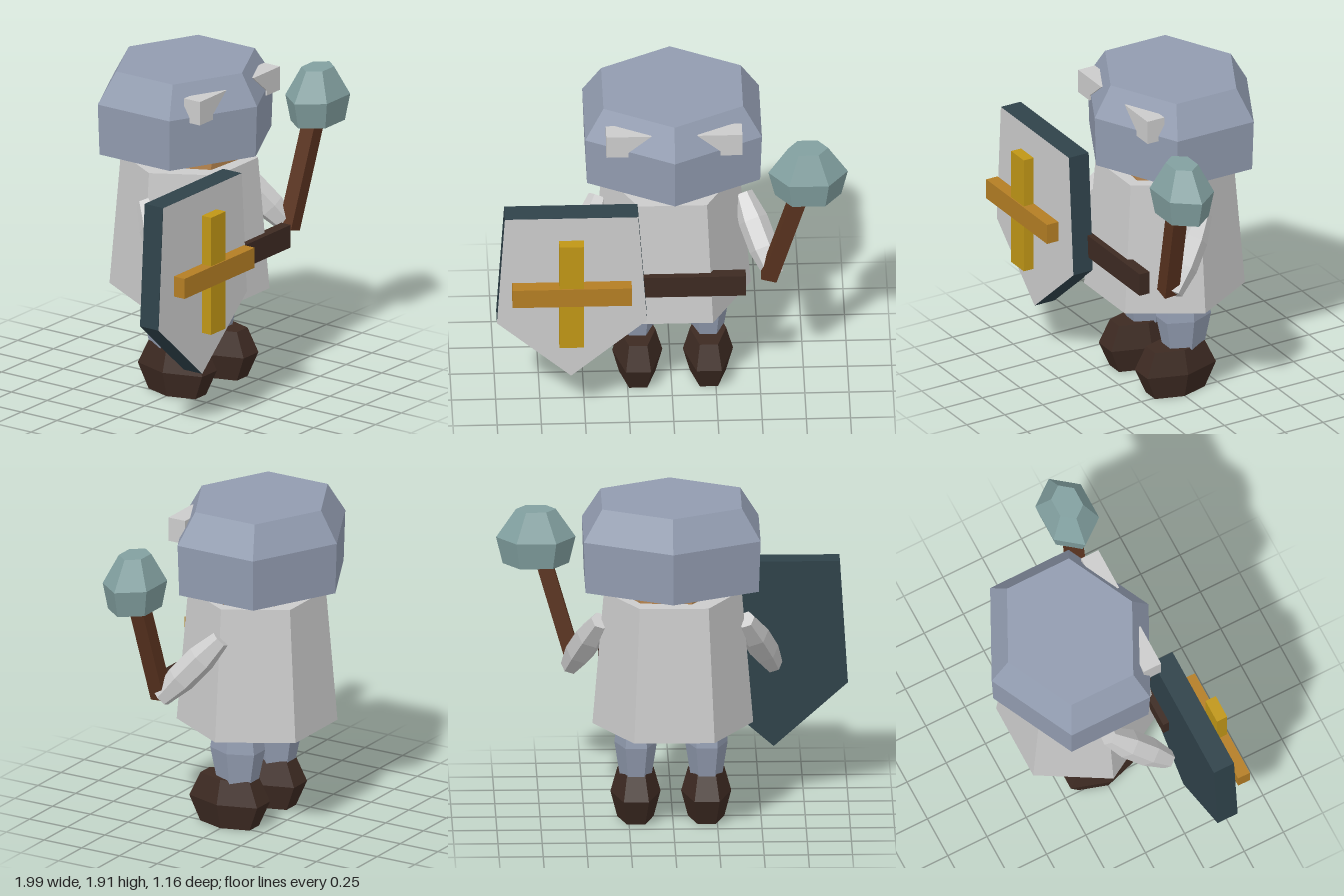
import * as THREE from 'three';

const GREY = 0xcccccc, STEEL = 0x929cb0, LEATHER = 0x3d2a22, WOOD = 0x5a331f;
const V = (x, y, z) => new THREE.Vector3(x, y, z);

export function createModel() {
  const model = new THREE.Group();

  function add(name, geometry, color, x = 0, y = 0, z = 0) {
    const material = new THREE.MeshStandardMaterial({ color, flatShading: true });
    const mesh = new THREE.Mesh(geometry, material);
    mesh.name = name;
    mesh.position.set(x, y, z);
    model.add(mesh);
    return mesh;
  }

  // Closed six-sided solid from [radius, y] rings; turn = 30 degrees puts corners on +-x
  function hexSolid(rings, turn = Math.PI / 6, scaleX = 1, scaleZ = 1) {
    const profile = [[0, rings[0][1]], ...rings, [0, rings[rings.length - 1][1]]];
    const points = profile.map(([r, y]) => new THREE.Vector2(r, y));
    return new THREE.LatheGeometry(points, 6, turn).scale(scaleX, 1, scaleZ);
  }

  // Box given by its lower and upper corners
  function box(name, a, b, color) {
    const size = b.clone().sub(a), mid = a.clone().add(b).multiplyScalar(0.5);
    return add(name, new THREE.BoxGeometry(size.x, size.y, size.z), color, mid.x, mid.y, mid.z);
  }

  // Stretches a mesh modelled along y (centred on 0) between two points
  function aim(mesh, from, to) {
    mesh.position.copy(from).add(to).multiplyScalar(0.5);
    mesh.quaternion.setFromUnitVectors(V(0, 1, 0), to.clone().sub(from).normalize());
  }

  function polygon(points) {
    return new THREE.Shape(points.map(([x, y]) => new THREE.Vector2(x, y)));
  }

  const extrude = (points, depth) =>
    new THREE.ExtrudeGeometry(polygon(points), { depth, bevelEnabled: false });

  // Helmet, with a corner facing front and back
  add('helmet', hexSolid([[0.49, 1.43], [0.5, 1.73], [0.395, 1.91]], 0, 1.155, 1),
    STEEL, 0.01, 0, -0.085);

  // Head, mostly hidden below the helmet
  add('head', hexSolid([[0.29, 1.3], [0.3, 1.5]], Math.PI / 6 - 0.07), 0xbb8850, 0.025, 0, -0.04);

  // Slanted eyes standing out of the helmet
  for (const side of [-1, 1]) {
    const eye = [[0.13, 1.84], [0.26, 1.73], [0.26, 1.7], [0.385, 1.7], [0.385, 1.84]]
      .map(([x, y]) => [side * x + 0.01, y]);
    add(side > 0 ? 'leftEye' : 'rightEye', extrude(eye, 0.11), GREY, 0, 0, 0.185);
  }

  // Tunic and belt
  add('tunic', hexSolid([[0.455, 0.57], [0.39, 1.35]]), GREY, 0, 0, -0.05);
  box('belt', V(-0.405, 0.765, 0.293), V(0.413, 0.9, 0.358), LEATHER);

  // Arms, legs and boots
  for (const side of [-1, 1]) {
    const label = side > 0 ? 'left' : 'right';
    const shoulder = V(side * 0.41, 1.18, -0.06), hand = V(side * 0.575, 0.82, 0.235);
    const half = shoulder.distanceTo(hand) / 2;
    const arm = add(label + 'Arm',
      hexSolid([[0.055, -half], [0.085, -half * 0.35], [0.085, half * 0.35], [0.055, half]]), GREY);
    aim(arm, hand, shoulder);

    const x = side * 0.2 + 0.01;
    add(label + 'Leg', hexSolid([[0.125, 0.26], [0.168, 0.46], [0.14, 0.62]], Math.PI / 6, 0.72, 1),
      STEEL, x, 0, -0.05);
    add(label + 'Boot', hexSolid([[0.103, 0], [0.142, 0.15], [0.103, 0.29]], Math.PI / 6, 1, 1.83),
      LEATHER, x, 0, 0.003);
  }

  // Mace
  const grip = V(0.545, 0.82, 0.25), tip = V(0.735, 1.47, 0.295);
  const handle = add('maceHandle', new THREE.BoxGeometry(0.09, grip.distanceTo(tip), 0.09), WOOD);
  aim(handle, grip, tip);
  add('maceHead', hexSolid([[0.188, 1.415], [0.225, 1.57], [0.113, 1.735]], Math.PI / 6, 1, 0.745),
    0x82a0a0, 0.767, 0, 0.29);

  // Shield: dark slab, pale face and raised cross
  const outline = [[-0.955, 1.4], [-1, 0.68], [-0.58, 0.305], [-0.15, 0.68], [-0.2, 1.4]];
  add('shield', extrude(outline, 0.128), 0x2f424a, 0, 0, 0.33);
  add('shieldFace', new THREE.ShapeGeometry(polygon(outline)), GREY, 0, 0, 0.46);
  box('crossUpright', V(-0.65, 0.58, 0.508), V(-0.51, 1.28, 0.573), 0xc09616);
  box('crossBar', V(-0.915, 0.87, 0.505), V(-0.24, 0.99, 0.58), 0xb47e24);

  return model;
}
